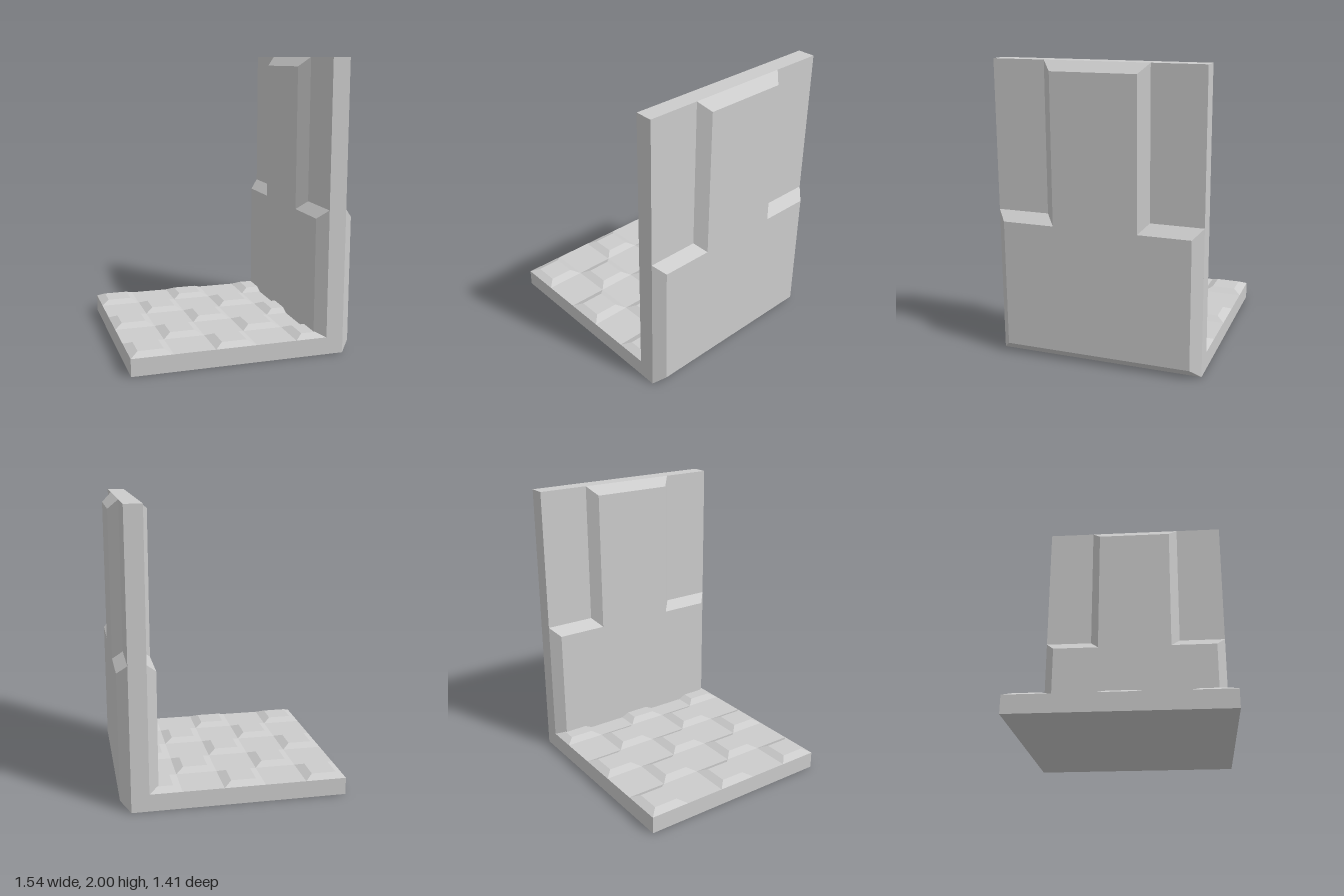
import * as THREE from 'three';

const material = new THREE.MeshStandardMaterial({ color: 0xcccccc, flatShading: true });

const DEPTH = 1.414;            // full z size
const HALF = DEPTH / 2;
const X_MIN = -0.77, WALL_IN = 0.58, WALL_OUT = 0.70;
const FLOOR_H = 0.12;

// Bevelled plate: base ring at z = 0 rising to a smaller capped ring at z = h
function bevelledPlate(base, top, h) {
  const pos = [];
  const put = (p, z) => pos.push(p[0], p[1], z);
  base.forEach((a, i) => {
    const j = (i + 1) % base.length;
    const b = base[j], c = top[j], d = top[i];
    put(a, 0); put(b, 0); put(c, h);
    put(a, 0); put(c, h); put(d, h);
  });
  const contour = top.map(([x, y]) => new THREE.Vector2(x, y));
  for (const tri of THREE.ShapeUtils.triangulateShape(contour, [])) {
    tri.forEach((k) => put(top[k], h));
  }
  const geo = new THREE.BufferGeometry();
  geo.setAttribute('position', new THREE.Float32BufferAttribute(pos, 3));
  geo.computeVertexNormals();
  return geo;
}

// Wide lower half with a narrow upper half, inset by i on every edge
function panelOutline(i) {
  const w = HALF - i, n = 0.352 - i, low = i, mid = 1 - i, high = 2 - i;
  return [[-w, low], [w, low], [w, mid], [n, mid], [n, high], [-n, high], [-n, mid], [-w, mid]];
}

function square(size) {
  const s = size / 2;
  return [[-s, -s], [s, -s], [s, s], [-s, s]];
}

function box(name, x0, x1, height) {
  const mesh = new THREE.Mesh(new THREE.BoxGeometry(x1 - x0, height, DEPTH), material);
  mesh.position.set((x0 + x1) / 2, height / 2, 0);
  mesh.name = name;
  return mesh;
}

export function createModel() {
  const model = new THREE.Group();
  model.name = 'floorAndWall';

  // Slabs
  model.add(box('floorSlab', X_MIN, WALL_IN, FLOOR_H));
  model.add(box('wallSlab', WALL_IN, WALL_OUT, 2));

  // Raised panels on both faces of the wall
  const panelGeo = bevelledPlate(panelOutline(0), panelOutline(0.064), 0.068);
  for (const [name, x, turn] of [['outerPanel', WALL_OUT, 1], ['innerPanel', WALL_IN, -1]]) {
    const panel = new THREE.Mesh(panelGeo, material);
    panel.name = name;
    panel.position.x = x;
    panel.rotation.y = turn * Math.PI / 2;
    model.add(panel);
  }

  // Checkerboard of bevelled floor tiles
  const tiles = new THREE.Group();
  tiles.name = 'floorTiles';
  const cell = DEPTH / 5;
  const tileGeo = bevelledPlate(square(cell), square(cell - 0.112), 0.027);
  for (let col = 0; col < 5; col++) {
    for (let row = col % 2; row < 5; row += 2) {
      const tile = new THREE.Mesh(tileGeo, material);
      tile.name = 'floorTile';
      tile.rotation.x = -Math.PI / 2;
      tile.position.set(X_MIN + (col + 0.5) * cell, FLOOR_H, -HALF + (row + 0.5) * cell);
      tiles.add(tile);
    }
  }
  model.add(tiles);

  return model;
}
